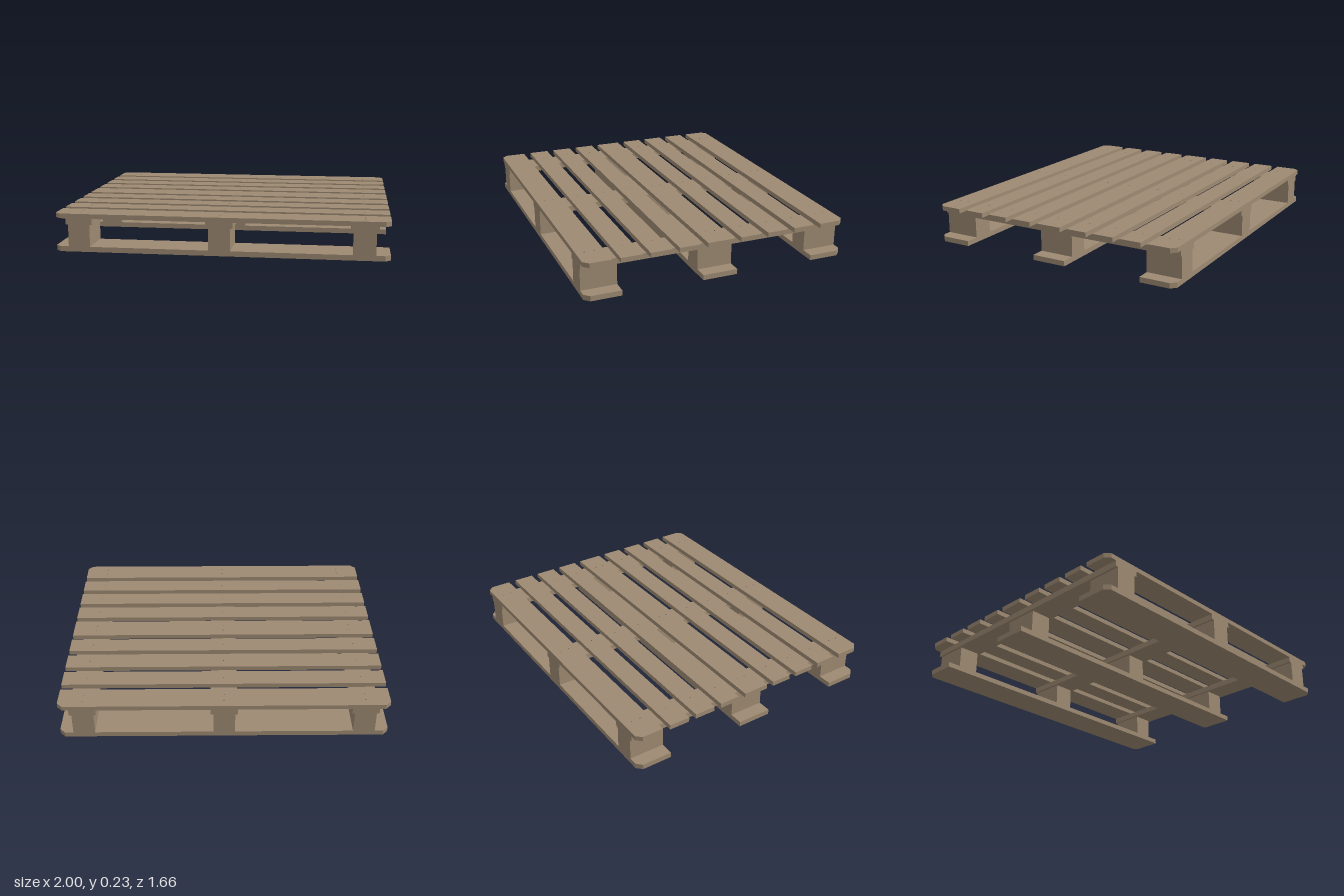
import * as THREE from 'three';

export function createModel() {
  const pallet = new THREE.Group();
  pallet.name = 'pallet';
  const wood = new THREE.MeshStandardMaterial({ color: 0x9d8a72 });
  wood.name = 'wood';
  const nailMetal = new THREE.MeshStandardMaterial({ color: 0x75695a });
  nailMetal.name = 'nail metal';

  // Heights of the four layers
  const Y = { bottom: 0.032, block: 0.167, stringer: 0.203, top: 0.232 };
  const EDGE = 0.83; // half depth
  const rows = [-0.85, 0, 0.85]; // x of stringers, blocks and nails

  function add(name, geometry, material, x, y, z) {
    const mesh = new THREE.Mesh(geometry, material);
    mesh.name = name;
    mesh.position.set(x, y, z);
    pallet.add(mesh);
    return mesh;
  }

  function box(name, x, y0, y1, z, width, depth) {
    add(name, new THREE.BoxGeometry(width, y1 - y0, depth), wood, x, (y0 + y1) / 2, z);
  }

  // Board with its two outer corners cut off; side is +1 for front, -1 for back
  function edgeBoard(name, side, y0, y1, depth) {
    const c = 0.032, inner = -(EDGE - depth);
    const outline = new THREE.Shape([
      [-1, inner], [-1, -EDGE + c], [-1 + c, -EDGE],
      [1 - c, -EDGE], [1, -EDGE + c], [1, inner],
    ].map(([x, y]) => new THREE.Vector2(x, y)));
    const geometry = new THREE.ExtrudeGeometry(outline, { depth: y1 - y0, bevelEnabled: false });
    geometry.rotateX(-Math.PI / 2);
    if (side < 0) geometry.rotateY(Math.PI);
    add(name, geometry, wood, 0, y0, 0);
  }

  // Top and bottom edge boards
  for (const side of [1, -1]) {
    const end = side > 0 ? 'front' : 'back';
    edgeBoard(end + 'BottomBoard', side, 0, Y.bottom, 0.22);
    edgeBoard(end + 'TopSlat', side, Y.stringer, Y.top, 0.165);
  }
  box('middleBottomBoard', 0, 0, Y.bottom, 0, 2, 0.22);

  // Inner top slats
  box('middleTopSlat', 0, Y.stringer, Y.top, 0, 2, 0.165);
  for (const z of [0.195, 0.373, 0.551])
    for (const side of [1, -1]) box('topSlat', 0, Y.stringer, Y.top, side * z, 2, 0.13);

  // Stringers and spacer blocks
  for (const x of rows) {
    box('stringer', x, Y.block, Y.stringer, 0, 0.163, 2 * EDGE);
    for (const z of [-0.72, 0, 0.72]) box('block', x, Y.bottom, Y.block, z, 0.132, 0.22);
  }

  // Nail heads: two rows in wide slats, one in narrow slats
  const nailHead = new THREE.CylinderGeometry(0.004, 0.004, 0.002, 8);
  for (const x of rows)
    for (const z of [0.028, 0.195, 0.373, 0.551, 0.72, 0.778])
      for (const side of [1, -1]) add('nailHead', nailHead, nailMetal, x, Y.top, side * z);

  return pallet;
}
